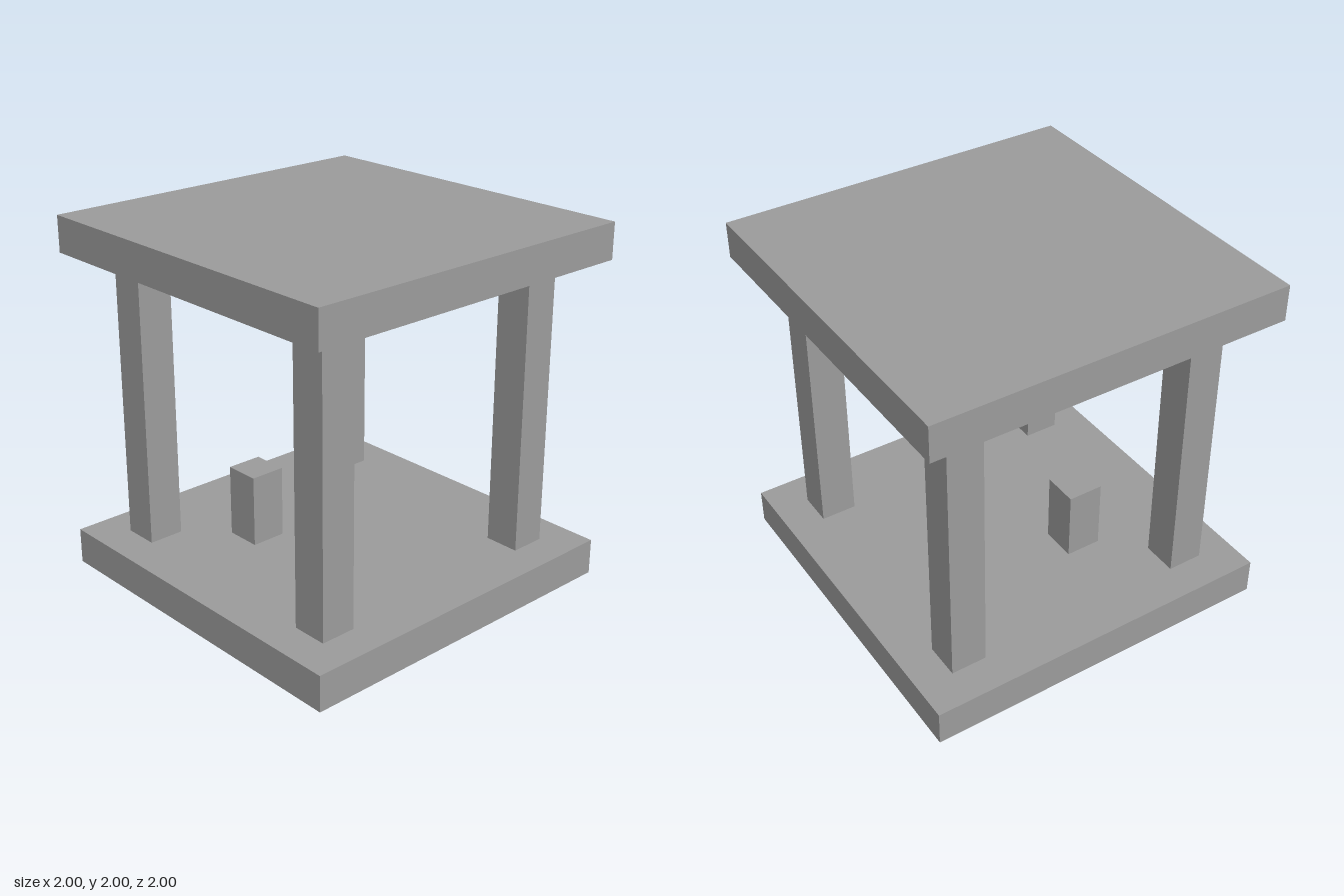
import * as THREE from 'three';

export function createModel() {
  const model = new THREE.Group();
  const material = new THREE.MeshStandardMaterial({ color: 0x9b9b9b, flatShading: true });

  // Square block with its underside at height y
  function block(name, width, height, x, y, z) {
    const mesh = new THREE.Mesh(new THREE.BoxGeometry(width, height, width), material);
    mesh.name = name;
    mesh.position.set(x, y + height / 2, z);
    model.add(mesh);
  }

  // Floor and roof slabs
  block('floor', 2, 0.2, 0, 0, 0);
  block('roof', 2, 0.2, 0, 1.8, 0);

  // Four corner pillars
  for (const [sideName, sx] of [['Left', 1], ['Right', -1]]) {
    for (const [endName, sz] of [['front', 1], ['back', -1]]) {
      block(`${endName}${sideName}Pillar`, 0.2, 1.6, sx * 0.7, 0.2, sz * 0.7);
    }
  }

  // Short post on the floor and block hanging under the roof
  block('floorPost', 0.2, 0.4, -0.3, 0.2, 0.3);
  block('hangingBlock', 0.2, 0.2, 0.3, 1.6, -0.3);

  return model;
}
